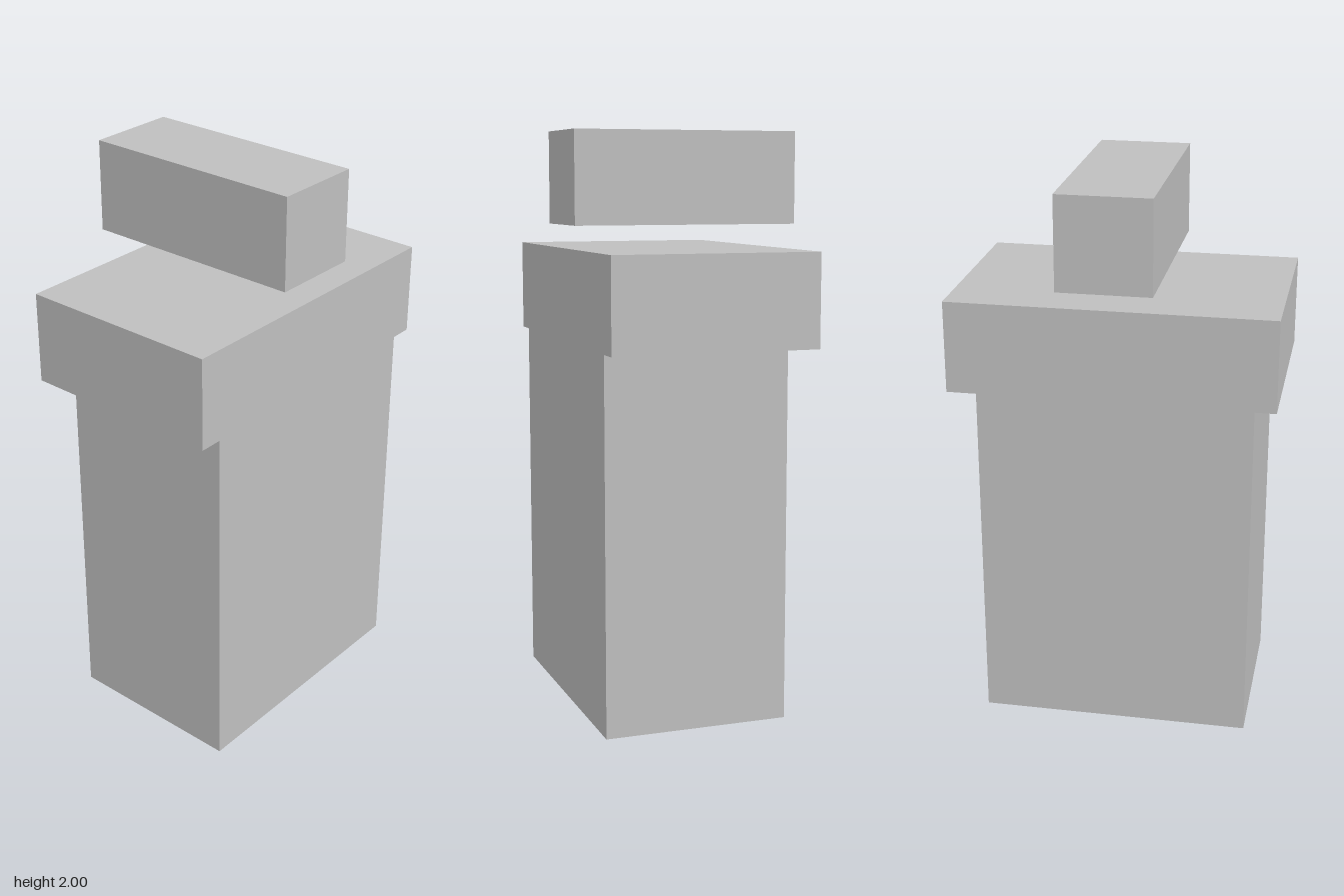
import * as THREE from 'three';

export function createModel() {
  const model = new THREE.Group();
  model.name = 'blockModel';

  const grey = new THREE.MeshStandardMaterial({ color: 0xbfbfbf });
  grey.name = 'light grey';

  const FRONT = 0.4; // all blocks share one front plane

  // Block centred on x, set by its height range and running back from the front plane
  function addBlock(name, width, bottom, top, depth) {
    const mesh = new THREE.Mesh(new THREE.BoxGeometry(width, top - bottom, depth), grey);
    mesh.position.set(0, (bottom + top) / 2, FRONT - depth / 2);
    mesh.name = name;
    model.add(mesh);
  }

  addBlock('body', 0.96, 0, 1.28, 0.64);
  // Wider cap overhanging the sides and back
  addBlock('cap', 1.12, 1.28, 1.6, 0.72);
  // Bar floating above the cap
  addBlock('topBar', 0.32, 1.68, 2, 0.8);

  return model;
}
